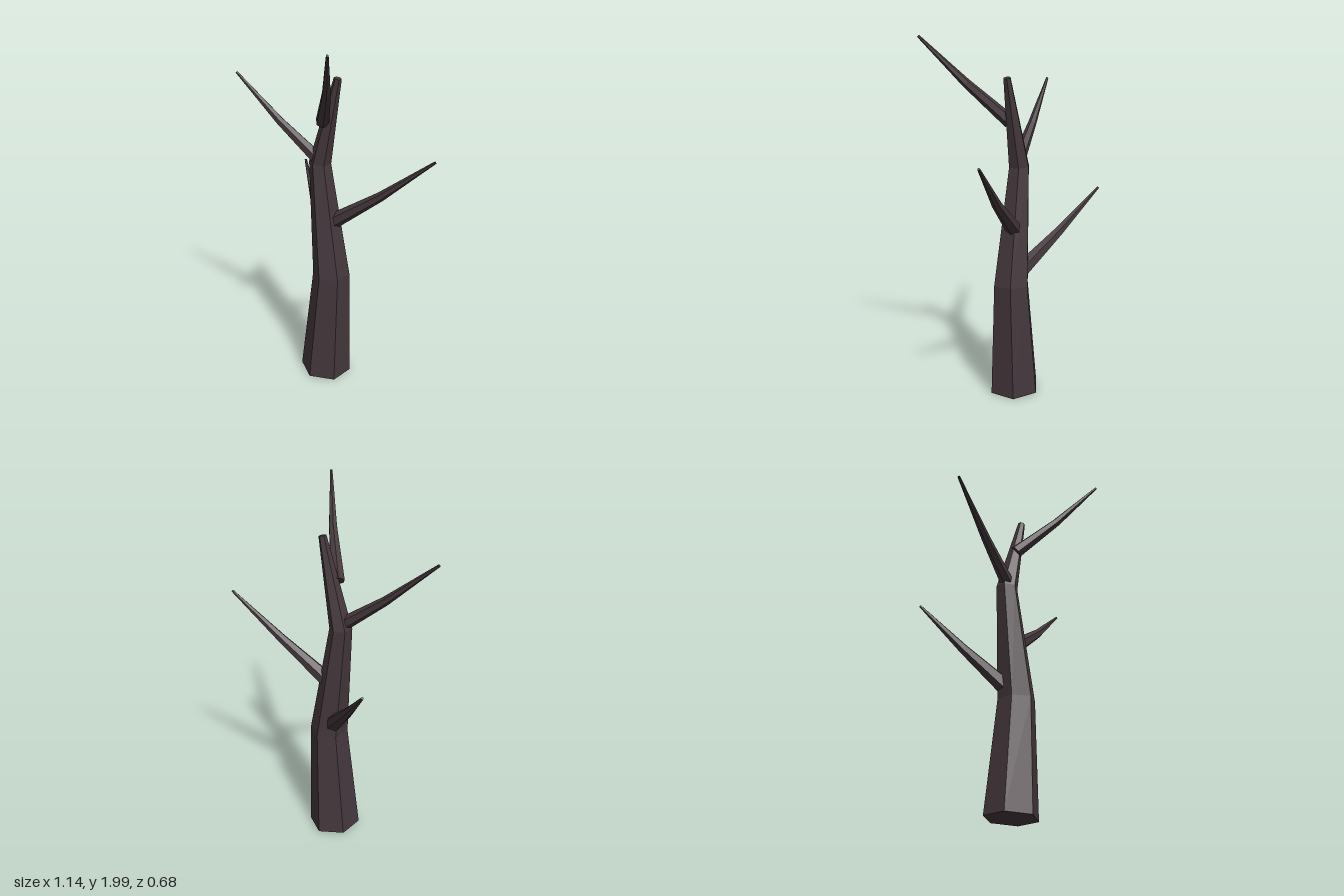
import * as THREE from 'three';

const SIDES = 6;

// Closed, tapering six-sided limb through a list of [x, y, z, radius] stations.
// `ridge` is the direction in which one lengthwise edge points.
function limbGeometry(stations, ridge) {
  const pts = stations.map(([x, y, z]) => new THREE.Vector3(x, y, z));
  const last = pts.length - 1;
  const positions = [];
  const index = [];

  pts.forEach((p, i) => {
    const dir = new THREE.Vector3();
    if (i > 0) dir.add(p.clone().sub(pts[i - 1]).normalize());
    if (i < last) dir.add(pts[i + 1].clone().sub(p).normalize());
    dir.normalize();
    const u = ridge.clone().addScaledVector(dir, -ridge.dot(dir)).normalize();
    const v = new THREE.Vector3().crossVectors(dir, u);
    for (let s = 0; s < SIDES; s++) {
      const a = (s / SIDES) * Math.PI * 2;
      const r = stations[i][3];
      const q = p.clone().addScaledVector(u, Math.cos(a) * r).addScaledVector(v, Math.sin(a) * r);
      positions.push(q.x, q.y, q.z);
    }
  });

  // sides
  for (let i = 0; i < last; i++) {
    for (let s = 0; s < SIDES; s++) {
      const n = (s + 1) % SIDES;
      const a = i * SIDES + s, b = i * SIDES + n;
      index.push(a, b, b + SIDES, a, b + SIDES, a + SIDES);
    }
  }
  // flat end caps
  const top = last * SIDES;
  for (let s = 1; s < SIDES - 1; s++) {
    index.push(0, s + 1, s);
    index.push(top, top + s, top + s + 1);
  }

  const indexed = new THREE.BufferGeometry();
  indexed.setAttribute('position', new THREE.Float32BufferAttribute(positions, 3));
  indexed.setIndex(index);
  const geometry = indexed.toNonIndexed();
  geometry.computeVertexNormals();
  return geometry;
}

export function createModel() {
  const tree = new THREE.Group();
  tree.name = 'bareTree';
  const bark = new THREE.MeshStandardMaterial({ color: 0x44373c });
  bark.name = 'darkBark';
  bark.flatShading = true;

  const addLimb = (name, stations, ridge) => {
    const mesh = new THREE.Mesh(limbGeometry(stations, ridge), bark);
    mesh.name = name;
    tree.add(mesh);
  };

  // Crooked trunk
  addLimb('trunk', [
    [-0.021, 0.012, -0.04, 0.146],
    [0.017, 0.65, -0.042, 0.105],
    [-0.064, 1.3, -0.04, 0.061],
    [0.057, 1.782, -0.04, 0.021],
  ], new THREE.Vector3(0, 0, 1));

  // Branches, each with a slight bend halfway: root, bend, tip
  const up = new THREE.Vector3(0, 1, 0);
  const branches = {
    lowerRightBranch: [[-0.03, 0.71, -0.065, 0.05], [-0.235, 0.92, -0.2, 0.028], [-0.44, 1.15, -0.335, 0.007]],
    lowerLeftBranch: [[0.01, 0.965, -0.055, 0.045], [0.285, 1.165, -0.125, 0.026], [0.563, 1.4, -0.21, 0.007]],
    upperRightBranch: [[-0.04, 1.3, -0.035, 0.04], [-0.3, 1.5, 0.022, 0.024], [-0.567, 1.738, 0.08, 0.007]],
    upperLeftBranch: [[-0.02, 1.545, -0.01, 0.038], [0.15, 1.755, 0.155, 0.024], [0.311, 1.994, 0.335, 0.007]],
  };
  for (const [name, stations] of Object.entries(branches)) addLimb(name, stations, up);

  return tree;
}
